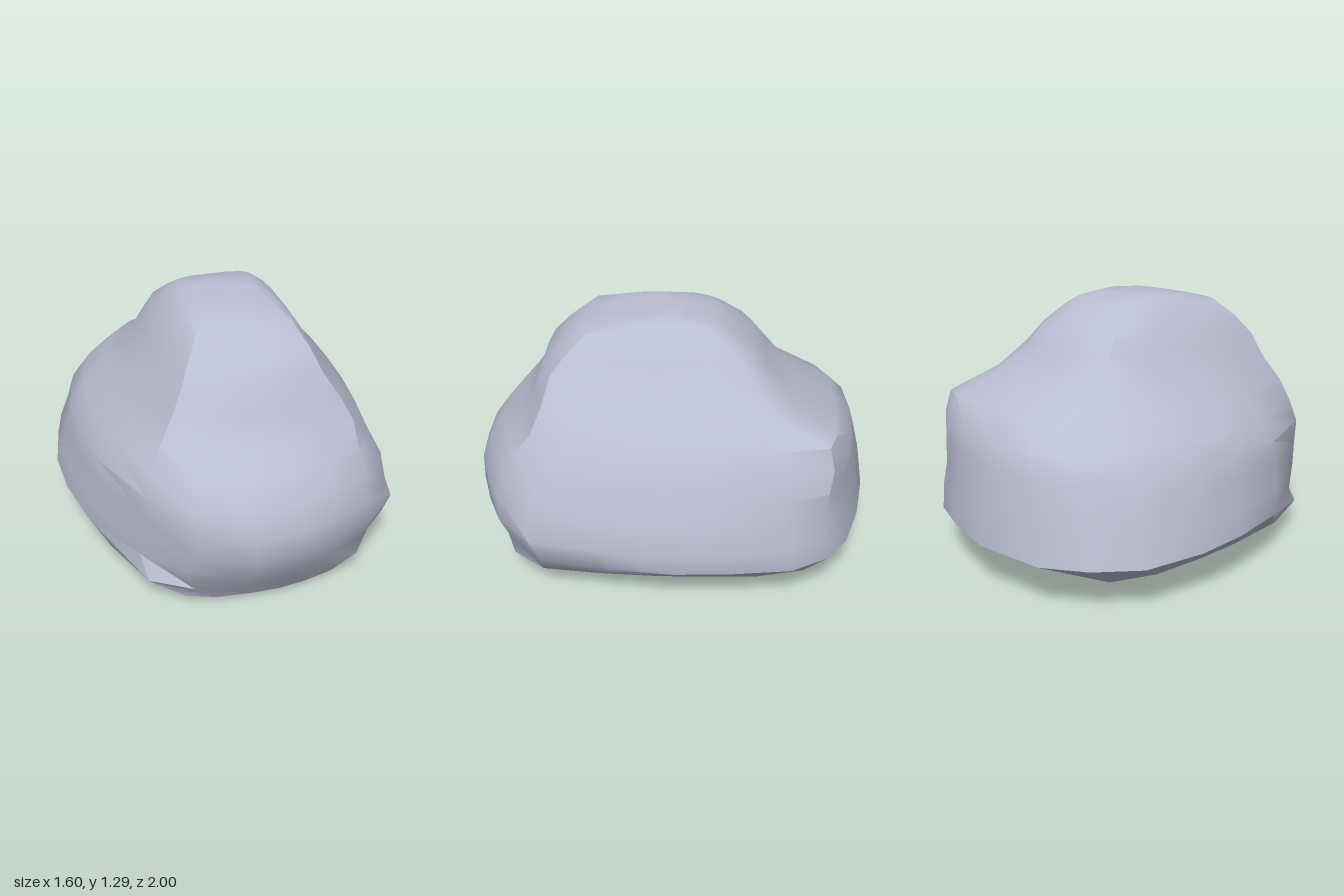
import * as THREE from 'three';
import { toCreasedNormals } from 'three/addons/utils/BufferGeometryUtils.js';

// Unit outlines (x, z), each from the back round by +x
const BASE = [ // nearly rectangular underside
  [-0.05, -1], [0.4, -1], [0.75, -1], [0.95, -0.95], [1, -0.6], [1, -0.28], [1, 0],
  [1, 0.35], [0.98, 0.7], [0.84, 0.91], [0.5, 0.97], [0.2, 1], [-0.1, 1], [-0.5, 0.98],
  [-0.82, 0.91], [-0.96, 0.5], [-1, 0], [-1, -0.28], [-1, -0.65], [-0.93, -0.95], [-0.55, -1],
];
const BELLY = [ // egg-shaped widest part
  [-0.05, -1], [0.3, -0.95], [0.61, -0.87], [0.8, -0.76], [0.93, -0.58], [0.98, -0.28], [1, 0],
  [0.97, 0.32], [0.91, 0.65], [0.68, 0.83], [0.46, 0.91], [0.2, 0.98], [-0.1, 1], [-0.42, 0.9],
  [-0.66, 0.68], [-0.9, 0.32], [-0.98, 0], [-1, -0.28], [-0.94, -0.6], [-0.75, -0.8], [-0.51, -0.94],
];
const SHOULDER = [ // sharp corner at the back on +x, cut corner on -x
  [-0.05, -1], [0.35, -1], [0.68, -0.98], [0.88, -0.93], [0.97, -0.65], [1, -0.28], [1, 0],
  [0.98, 0.32], [0.93, 0.64], [0.79, 0.88], [0.42, 0.97], [0.15, 1], [-0.2, 1], [-0.55, 0.98],
  [-0.82, 0.87], [-0.97, 0.4], [-1, 0], [-0.97, -0.32], [-0.81, -0.7], [-0.59, -0.91], [-0.35, -1],
];
const CROWN = [ // boxy ridge
  [-0.05, -1], [0.35, -1], [0.68, -0.97], [0.87, -0.87], [0.97, -0.6], [1, -0.28], [1, 0],
  [1, 0.32], [0.97, 0.66], [0.89, 0.89], [0.5, 0.99], [0.2, 1], [-0.1, 1], [-0.5, 0.98],
  [-0.87, 0.87], [-1, 0.42], [-1, 0], [-1, -0.28], [-0.96, -0.6], [-0.82, -0.88], [-0.5, -0.98],
];
const OUTLINES = [BASE, BELLY, SHOULDER, CROWN];

// Cross-sections: y, min x, max x, back z, front z, position along OUTLINES
const RINGS = [
  [0.00, -0.22, 0.24, -0.30, 0.65, 0],
  [0.025, -0.42, 0.47, -0.57, 0.81, 0],
  [0.13, -0.68, 0.67, -0.77, 0.88, 0.45],
  [0.23, -0.80, 0.78, -1.00, 0.95, 1],
  [0.35, -0.78, 0.80, -0.98, 1.00, 1],
  [0.47, -0.74, 0.75, -0.96, 1.00, 1.1],
  [0.59, -0.72, 0.73, -0.93, 0.95, 1.3],
  [0.70, -0.64, 0.67, -0.90, 0.87, 1.55],
  [0.81, -0.53, 0.62, -0.80, 0.75, 2],
  [0.92, -0.43, 0.52, -0.57, 0.68, 2.5],
  [1.05, -0.35, 0.41, -0.46, 0.63, 2.8],
  [1.14, -0.29, 0.36, -0.39, 0.55, 3],
  [1.23, -0.22, 0.30, -0.26, 0.44, 3],
  [1.265, -0.17, 0.25, -0.20, 0.28, 3],
  [1.29, -0.11, 0.19, -0.05, 0.08, 3],
];

// Point i of the outline blended between its two neighbours
function outlinePoint(t, i) {
  const k = Math.min(Math.floor(t), OUTLINES.length - 2);
  return [0, 1].map((c) => THREE.MathUtils.lerp(OUTLINES[k][i][c], OUTLINES[k + 1][i][c], t - k));
}

function rockGeometry() {
  const n = BASE.length;
  const pos = [];
  const index = [];
  for (const [y, x0, x1, z0, z1, t] of RINGS) {
    for (let i = 0; i < n; i++) {
      const [u, v] = outlinePoint(t, i);
      pos.push((x0 + x1) / 2 + (u * (x1 - x0)) / 2, y, (z0 + z1) / 2 + (v * (z1 - z0)) / 2);
    }
  }
  // Skin between neighbouring rings
  for (let r = 0; r < RINGS.length - 1; r++) {
    for (let i = 0; i < n; i++) {
      const a = r * n + i;
      const b = r * n + ((i + 1) % n);
      index.push(a, a + n, b + n, a, b + n, b);
    }
  }
  // Flat underside and top
  const top = (RINGS.length - 1) * n;
  for (let i = 1; i < n - 1; i++) {
    index.push(0, i, i + 1);
    index.push(top, top + i + 1, top + i);
  }
  const geometry = new THREE.BufferGeometry();
  geometry.setAttribute('position', new THREE.Float32BufferAttribute(pos, 3));
  geometry.setIndex(index);
  return toCreasedNormals(geometry, THREE.MathUtils.degToRad(35));
}

export function createModel() {
  const group = new THREE.Group();
  group.name = 'rock';
  const stone = new THREE.MeshStandardMaterial({ color: 0xbabed1 });
  stone.name = 'blue grey stone';
  const boulder = new THREE.Mesh(rockGeometry(), stone);
  boulder.name = 'boulder';
  group.add(boulder);
  return group;
}
